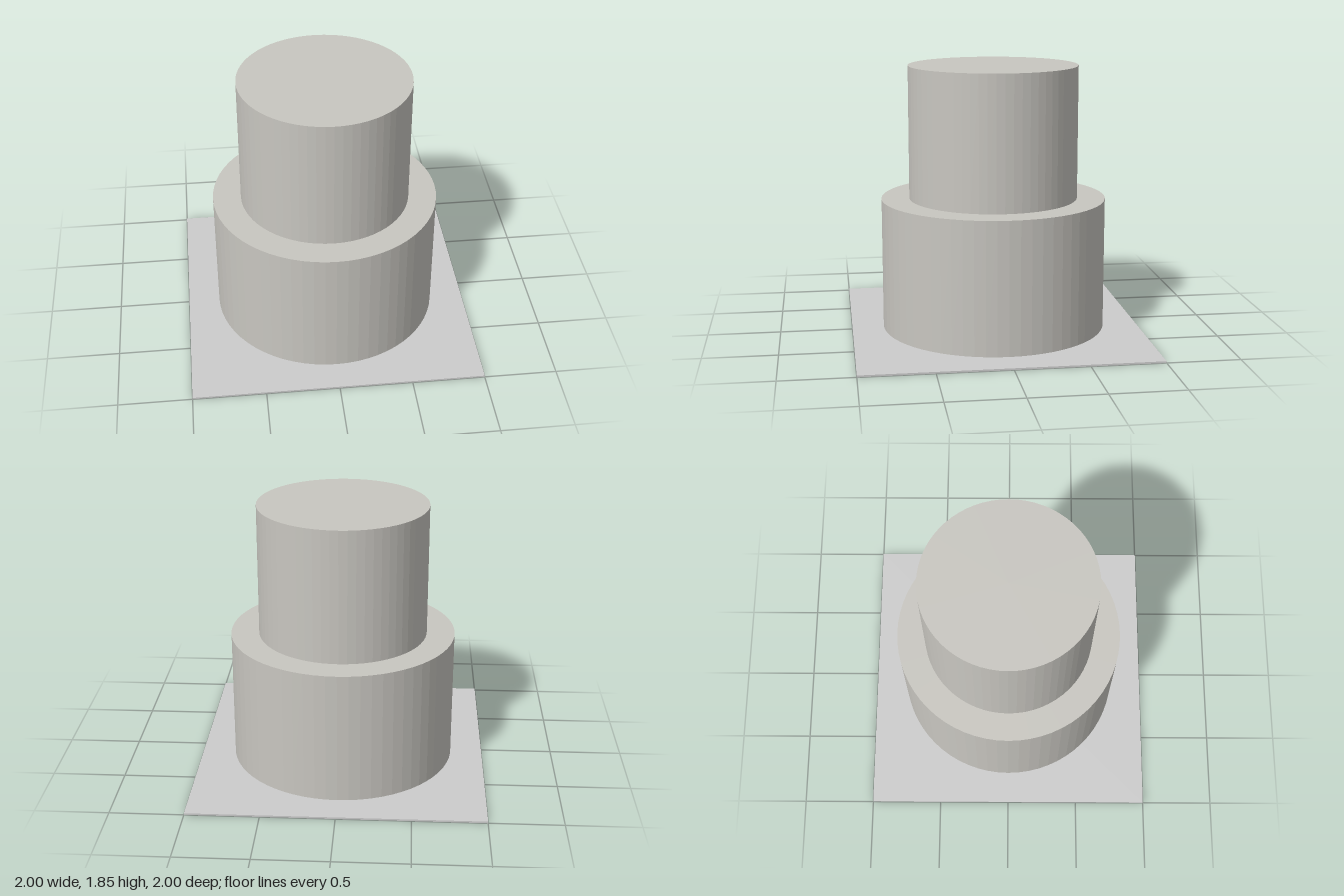
import * as THREE from 'three';

export function createModel() {
  const model = new THREE.Group();
  const plateMaterial = new THREE.MeshStandardMaterial({ color: 0xcccccc });
  const tierMaterial = new THREE.MeshStandardMaterial({ color: 0xc8c6c0, flatShading: true });

  const add = (name, geometry, material, bottom, height) => {
    const mesh = new THREE.Mesh(geometry, material);
    mesh.name = name;
    mesh.position.y = bottom + height / 2;
    model.add(mesh);
  };
  const addTier = (name, radius, bottom, top) => {
    const height = top - bottom;
    add(name, new THREE.CylinderGeometry(radius, radius, height, 64), tierMaterial, bottom, height);
  };

  // Thin square plate on the ground
  const plateHeight = 0.012;
  add('basePlate', new THREE.BoxGeometry(2, plateHeight, 2), plateMaterial, 0, plateHeight);

  // Two stacked drums
  addTier('lowerTier', 0.78, plateHeight, 0.927);
  addTier('upperTier', 0.586, 0.927, 1.85);

  return model;
}
